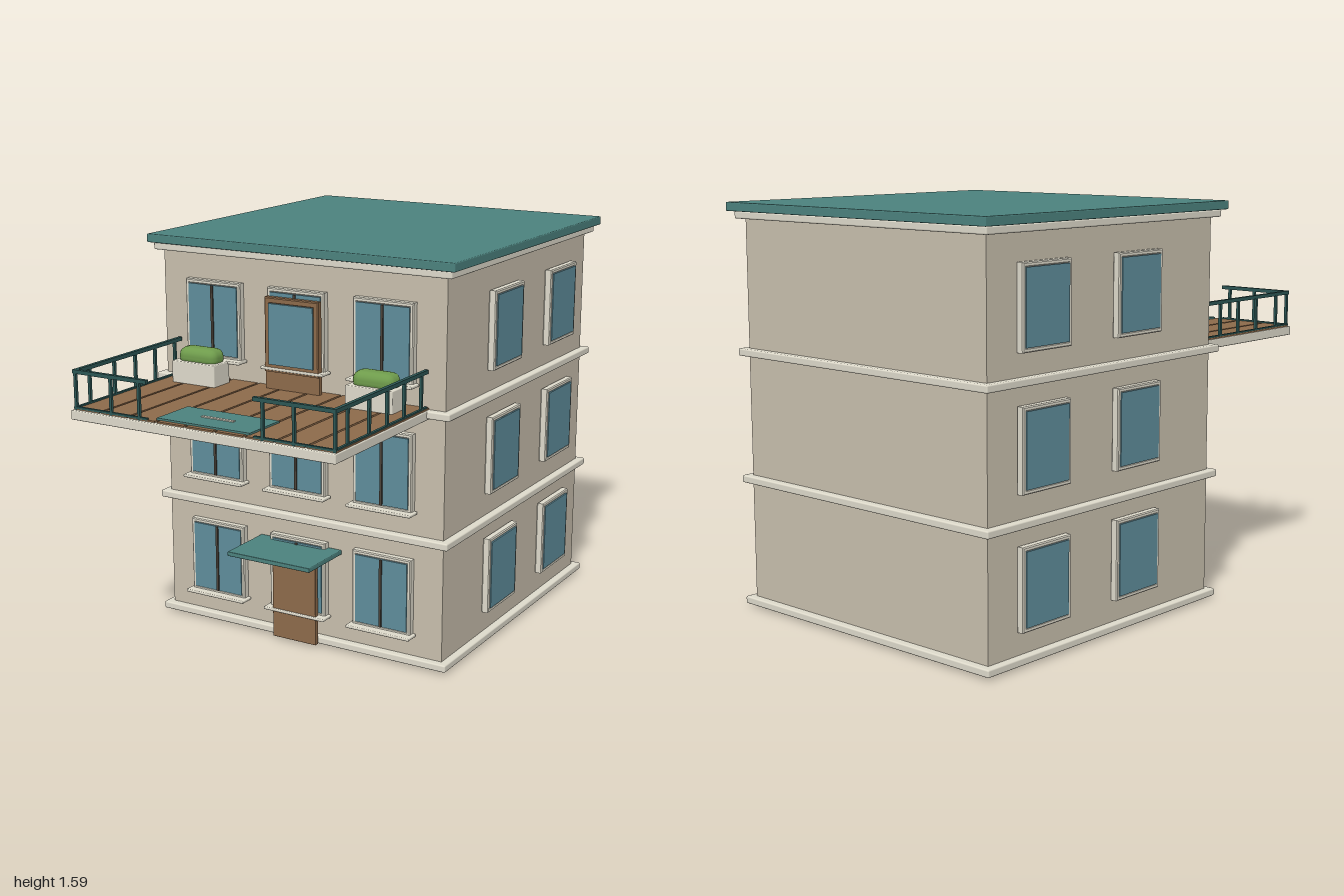
import * as THREE from 'three';
import { RoundedBoxGeometry } from 'three/addons/geometries/RoundedBoxGeometry.js';

const mat = (color) => new THREE.MeshStandardMaterial({ color });
const wall = mat(0xc8bfad), trim = mat(0xdedacb), teal = mat(0x4c827e), glass = mat(0x5f8d9b),
  wood = mat(0x8d6a4a), dark = mat(0x4a4239), iron = mat(0x2c5654), leaf = mat(0x6f9c4c);

// Box given by its lower and upper corners; r rounds the edges
function box(parent, name, [x0, y0, z0], [x1, y1, z1], material, r = 0) {
  const size = [x1 - x0, y1 - y0, z1 - z0];
  const geometry = r ? new RoundedBoxGeometry(...size, 2, r) : new THREE.BoxGeometry(...size);
  const mesh = new THREE.Mesh(geometry, material);
  mesh.position.set((x0 + x1) / 2, (y0 + y1) / 2, (z0 + z1) / 2);
  mesh.name = name;
  parent.add(mesh);
  return mesh;
}

// Rectangular frame with bevelled edges, lying in the xy plane
function frameGeometry(w, h, t, depth) {
  const rect = (p, a, b) => {
    p.moveTo(-a, -b); p.lineTo(a, -b); p.lineTo(a, b); p.lineTo(-a, b); p.closePath();
    return p;
  };
  const bevel = 0.004;
  const shape = rect(new THREE.Shape(), w / 2 - bevel, h / 2 - bevel);
  shape.holes.push(rect(new THREE.Path(), w / 2 - t + bevel, h / 2 - t + bevel));
  const g = new THREE.ExtrudeGeometry(shape, {
    depth: depth - 2 * bevel, bevelThickness: bevel, bevelSize: bevel, bevelSegments: 1,
  });
  return g.translate(0, 0, bevel);
}

// Window whose back sits on local z = 0, centred on its pane
function makeWindow(name, front) {
  const g = new THREE.Group();
  g.name = name;
  const frame = new THREE.Mesh(frameGeometry(0.256, 0.31, 0.017, 0.031), trim);
  frame.name = 'windowFrame';
  g.add(frame);
  box(g, 'windowPane', [-0.113, -0.138, 0.018], [0.113, 0.138, 0.034], glass);
  if (front) {
    box(g, 'mullion', [-0.005, -0.138, 0.03], [0.005, 0.138, 0.04], dark);
    box(g, 'windowSill', [-0.14, -0.16, 0.003], [0.14, -0.148, 0.065], trim, 0.004);
  }
  return g;
}

export function createModel() {
  const model = new THREE.Group();
  model.name = 'townHouse';

  // Walls, floor bands and flat roof
  box(model, 'walls', [-0.63, 0, -0.945], [0.63, 1.54, 0.318], wall);
  for (const y of [0.01, 0.5, 1.0, 1.527])
    box(model, 'floorBand', [-0.66, y, -0.976], [0.66, y + 0.029, 0.348], trim, 0.006);
  box(model, 'roof', [-0.68, 1.556, -1], [0.68, 1.59, 0.365], teal, 0.004);

  // Windows: three columns in front, two on each side, on three storeys
  for (const y of [0.281, 0.776, 1.271]) {
    for (const x of [-0.38, 0, 0.38]) {
      const w = makeWindow('frontWindow', true);
      w.position.set(x, y, 0.318);
      model.add(w);
    }
    for (const side of [-1, 1]) for (const z of [-0.152, -0.67]) {
      const w = makeWindow('sideWindow', false);
      w.rotation.y = side * Math.PI / 2;
      w.position.set(side * 0.63, y, z);
      model.add(w);
    }
  }

  // Entrance door and canopy
  box(model, 'entranceDoor', [-0.1, 0.012, 0.355], [0.1, 0.363, 0.375], wood, 0.003);
  box(model, 'canopy', [-0.187, 0.394, 0.318], [0.187, 0.412, 0.56], teal, 0.003);

  // Balcony slab and deck boards
  const balcony = new THREE.Group();
  balcony.name = 'balcony';
  model.add(balcony);
  box(balcony, 'slab', [-0.567, 0.994, 0.3], [0.567, 1.03, 1], trim, 0.004);
  for (let i = -4; i <= 4; i++)
    box(balcony, 'deckBoard', [i * 0.126 - 0.058, 1.025, 0.32], [i * 0.126 + 0.058, 1.036, 0.985], wood);

  // Balcony door with glazed upper part
  box(balcony, 'doorPanel', [-0.12, 1.036, 0.352], [0.12, 1.115, 0.372], wood);
  const doorFrame = new THREE.Mesh(frameGeometry(0.24, 0.29, 0.024, 0.028), wood);
  doorFrame.name = 'doorFrame';
  doorFrame.position.set(0, 1.25, 0.352);
  balcony.add(doorFrame);
  box(balcony, 'doorPane', [-0.099, 1.135, 0.355], [0.099, 1.372, 0.386], glass);
  box(balcony, 'doorBottomRail', [-0.12, 1.105, 0.352], [0.12, 1.14, 0.38], wood);

  // Hatch on the deck with its pale grip
  box(balcony, 'hatch', [-0.2, 1.034, 0.775], [0.2, 1.043, 0.965], teal);
  box(balcony, 'hatchGrip', [-0.07, 1.042, 0.862], [0.07, 1.047, 0.876], trim);

  for (const s of [-1, 1]) {
    // Railing: one side run and a short front return
    const railing = new THREE.Group();
    railing.name = s > 0 ? 'leftRailing' : 'rightRailing';
    balcony.add(railing);
    const bar = (name, x0, x1, y0, y1, z0, z1) => box(railing, name,
      [Math.min(s * x0, s * x1), y0, z0], [Math.max(s * x0, s * x1), y1, z1], iron);
    bar('sideRail', 0.547, 0.562, 1.167, 1.182, 0.33, 0.988);
    bar('frontRail', 0.228, 0.562, 1.167, 1.182, 0.973, 0.988);
    bar('frontFootRail', 0.228, 0.562, 1.034, 1.042, 0.975, 0.986);
    bar('sideFootRail', 0.549, 0.56, 1.034, 1.042, 0.33, 0.986);
    for (const z of [0.37, 0.5, 0.625, 0.753, 0.9, 0.98])
      bar('post', 0.549, 0.56, 1.03, 1.17, z - 0.0055, z + 0.0055);
    for (const x of [0.265, 0.392])
      bar('post', x - 0.0055, x + 0.0055, 1.03, 1.17, 0.975, 0.986);

    // Planter with a rounded shrub
    box(balcony, 'planter', [s * 0.392 - 0.1, 1.034, 0.37], [s * 0.392 + 0.1, 1.122, 0.475], trim, 0.004);
    box(balcony, 'shrub', [s * 0.392 - 0.088, 1.1, 0.368], [s * 0.392 + 0.088, 1.175, 0.46], leaf, 0.034);
  }
  return model;
}
